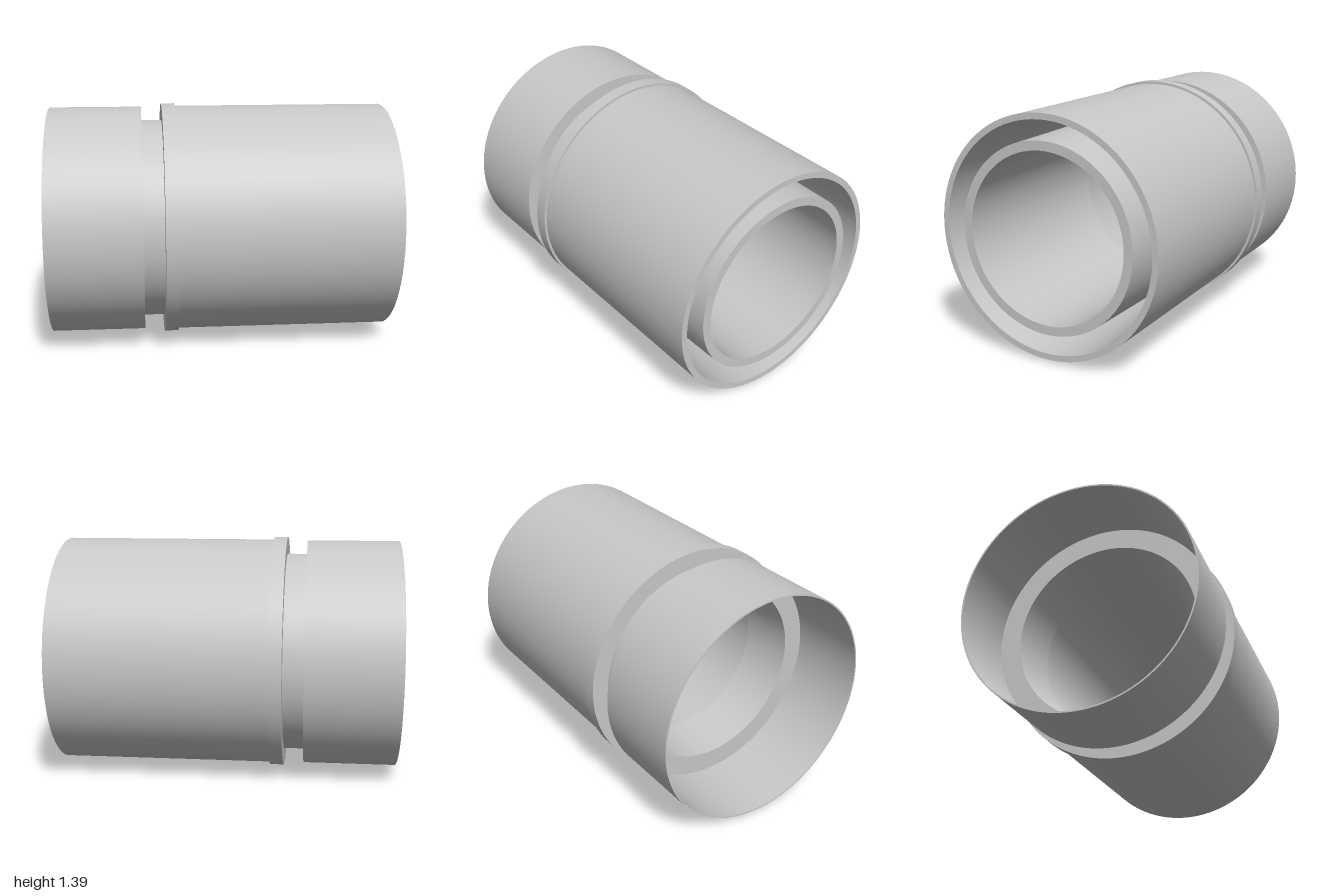
import * as THREE from 'three';
import { mergeGeometries } from 'three/addons/utils/BufferGeometryUtils.js';

const SEGMENTS = 128;
const AXIS_HEIGHT = 0.695;

// Revolve a profile of [radius, x] points about the x axis, with a sharp edge at every point
function turned(profile) {
  const bands = [];
  for (let i = 0; i < profile.length - 1; i++) {
    const points = [profile[i], profile[i + 1]].map(([r, x]) => new THREE.Vector2(r, x));
    bands.push(new THREE.LatheGeometry(points, SEGMENTS));
  }
  return mergeGeometries(bands).rotateZ(-Math.PI / 2);
}

export function createModel() {
  const group = new THREE.Group();
  const grey = new THREE.MeshStandardMaterial({ color: 0xc8c8c8 });

  const parts = {
    // Thin cup wall on the right end, up to the groove
    socketOuter: [[0.668, -1], [0.677, -1], [0.677, -0.455], [0.595, -0.455]],
    groove: [[0.595, -0.455], [0.595, -0.335]],
    // Raised collar beside the groove
    collar: [[0.595, -0.335], [0.695, -0.335], [0.695, -0.255], [0.68, -0.255]],
    // Long outer sleeve with its end rim and tapered inside
    outerSleeve: [[0.68, -0.255], [0.68, 1], [0.645, 1], [0.587, -0.24]],
    gapFloor: [[0.587, -0.24], [0.557, -0.24]],
    // Inner tube standing inside the sleeve
    innerTube: [[0.557, -0.24], [0.535, 1], [0.482, 1], [0.5, -0.25]],
    boreLeadIn: [[0.5, -0.25], [0.537, -0.55]],
    // Step and inside wall of the socket
    socketFloor: [[0.537, -0.55], [0.66, -0.55]],
    socketInner: [[0.66, -0.55], [0.668, -1]],
  };

  for (const [name, profile] of Object.entries(parts)) {
    const mesh = new THREE.Mesh(turned(profile), grey);
    mesh.name = name;
    mesh.position.y = AXIS_HEIGHT;
    group.add(mesh);
  }
  return group;
}
